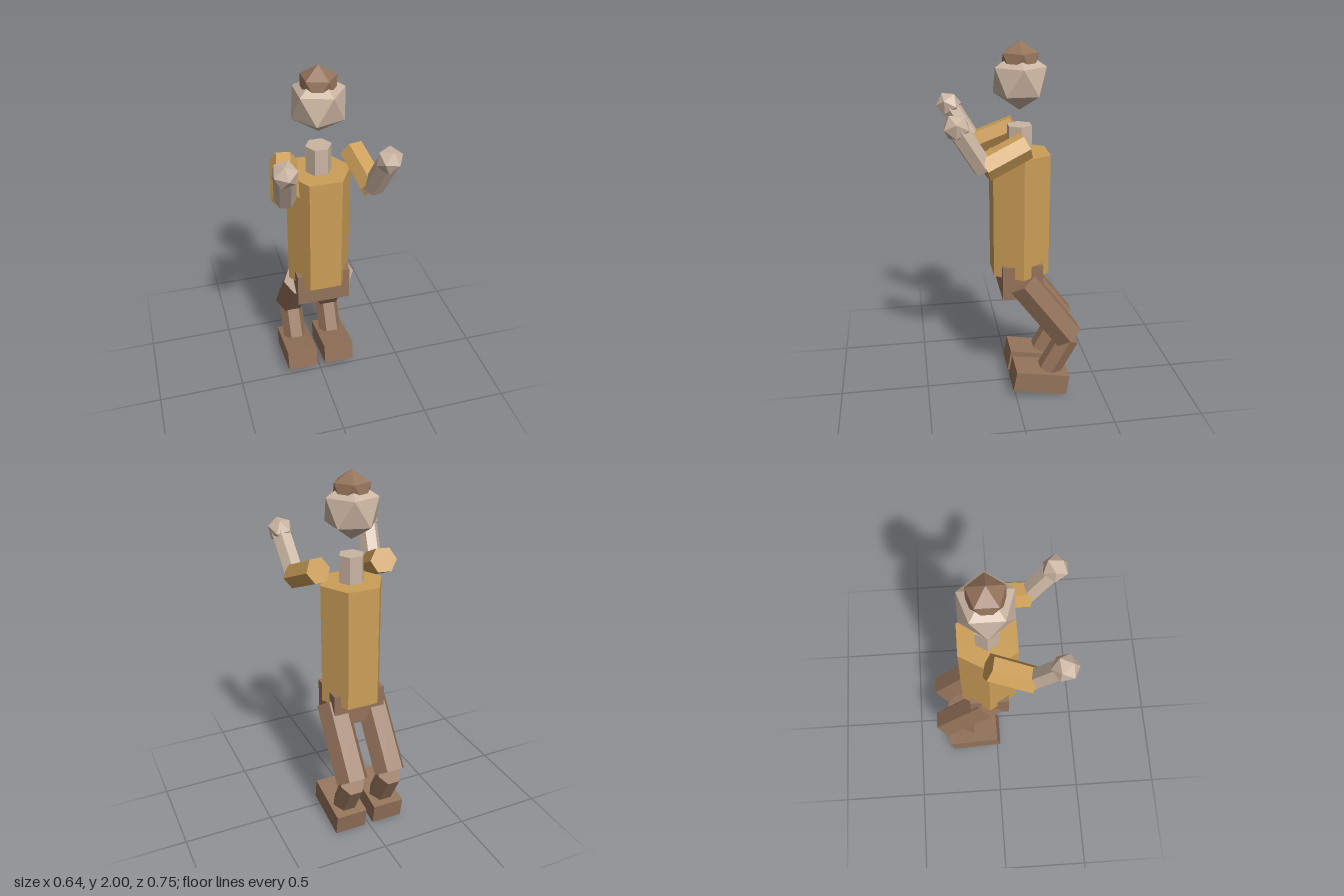
import * as THREE from 'three';

const UP = new THREE.Vector3(0, 1, 0);

function makeMaterial(name, color) {
  const m = new THREE.MeshStandardMaterial({ color });
  m.name = name;
  return m;
}

// Facet a geometry so every face has its own flat normal
function faceted(geometry) {
  const g = geometry.index ? geometry.toNonIndexed() : geometry;
  g.computeVertexNormals();
  return g;
}

// Six-sided prism with corners pointing sideways (along x)
function hexPrism(radius, height) {
  return faceted(new THREE.CylinderGeometry(radius, radius, height, 6, 1, false, Math.PI / 6));
}

// Twenty-sided ball standing on one of its corners
function cornerBall(radius) {
  const g = new THREE.IcosahedronGeometry(radius, 0);
  g.rotateZ(-Math.atan(2 / (1 + Math.sqrt(5))));
  return faceted(g);
}

// Rotation that lines y up with a direction and keeps x level
function levelBasis(dir) {
  const x = new THREE.Vector3().crossVectors(UP, dir).normalize();
  const z = new THREE.Vector3().crossVectors(x, dir).normalize();
  return new THREE.Matrix4().makeBasis(x, dir, z);
}

export function createModel() {
  const model = new THREE.Group();
  model.name = 'figure';
  const gold = makeMaterial('tunic gold', 0xcc9e58);
  const skin = makeMaterial('skin', 0xcbb5a2);
  const brown = makeMaterial('brown', 0x94735a);
  const midZ = -0.042;

  function add(name, geometry, material, x, y, z) {
    const mesh = new THREE.Mesh(geometry, material);
    mesh.name = name;
    mesh.position.set(x, y, z);
    model.add(mesh);
    return mesh;
  }

  // Hexagonal limb between two points
  function limb(name, from, to, radius, material) {
    const a = new THREE.Vector3(...from), b = new THREE.Vector3(...to);
    const dir = b.clone().sub(a);
    const length = dir.length();
    const mid = a.add(b).multiplyScalar(0.5);
    const mesh = add(name, hexPrism(radius, length), material, mid.x, mid.y, mid.z);
    mesh.quaternion.setFromRotationMatrix(levelBasis(dir.normalize()));
    return mesh;
  }

  // Trunk and head
  add('torso', hexPrism(0.176, 0.68), gold, 0, 1.08, midZ);
  add('hips', faceted(new THREE.BoxGeometry(0.3, 0.195, 0.222)), brown, 0, 0.713, midZ);
  add('neck', hexPrism(0.07, 0.15), skin, 0, 1.493, midZ);
  add('head', cornerBall(0.156), skin, 0, 1.802, midZ);
  add('hair', cornerBall(0.107), brown, 0, 1.893, midZ);

  for (const [side, s] of [['left', 1], ['right', -1]]) {
    // Arms, bent forward and up
    const elbow = [0.23 * s, 1.41, 0.175];
    const wrist = [0.256 * s, 1.63, 0.307];
    limb(side + 'UpperArm', [0.186 * s, 1.506, -0.045], elbow, 0.072, gold);
    const forearm = limb(side + 'Forearm', elbow, wrist, 0.056, skin);
    const hand = add(side + 'Hand', cornerBall(0.07), skin, ...wrist);
    hand.quaternion.copy(forearm.quaternion);

    // Legs, thighs swept back and shins angled forward
    const x = 0.115 * s;
    limb(side + 'Thigh', [x, 0.712, -0.04], [x, 0.35, -0.308], 0.092, brown);
    limb(side + 'Shin', [x, 0.335, -0.31], [x, 0.13, -0.2], 0.07, brown);
    const foot = add(side + 'Foot', faceted(new THREE.BoxGeometry(0.18, 0.123, 0.311)), brown, x, 0.087, -0.145);
    foot.rotation.x = -0.171;
  }
  return model;
}
